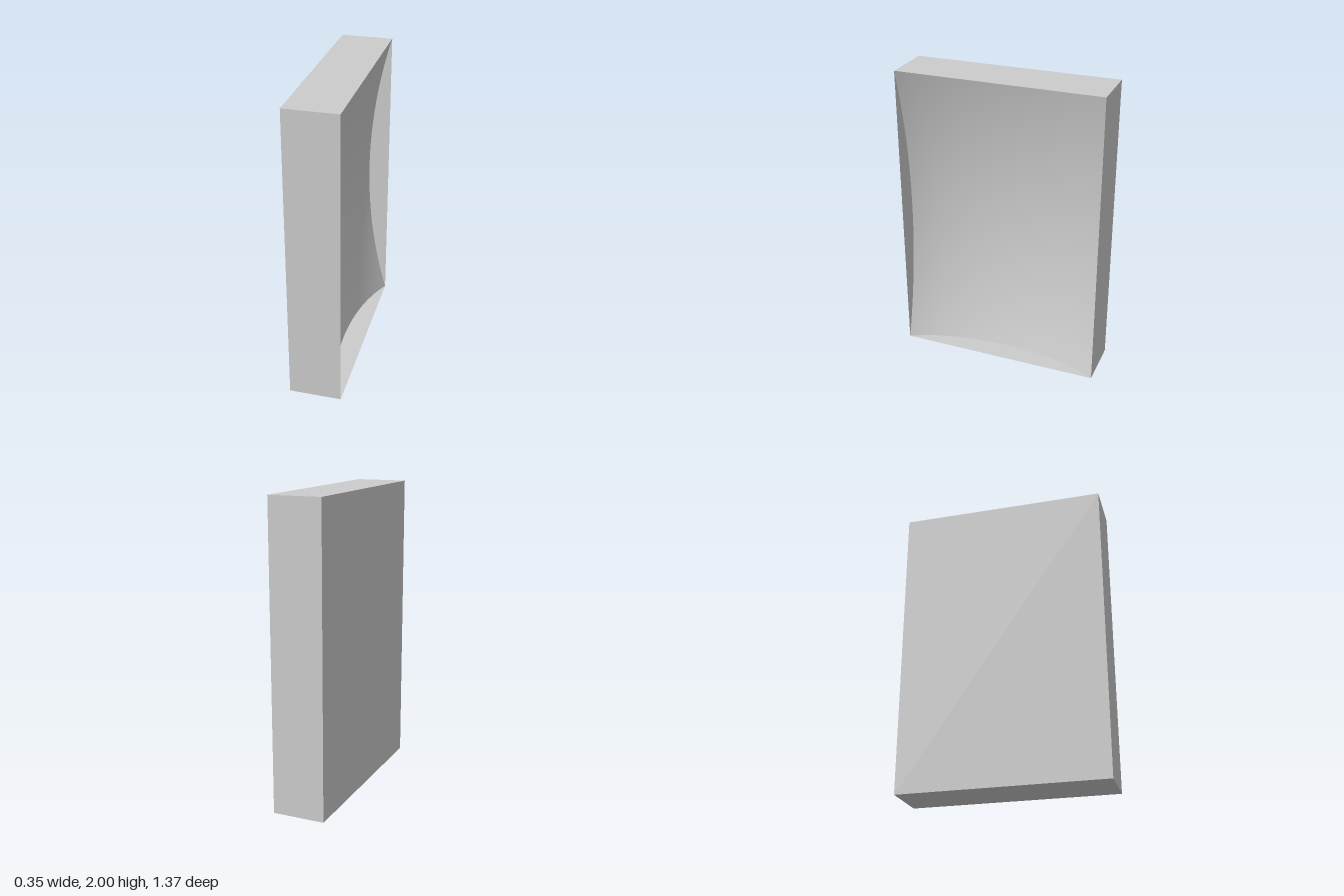
import * as THREE from 'three';

const W = 0.346, H = 2, D = 1.37;

// Depth of an elliptical arc at t in -1..1: sag in the middle, 0 at both ends.
// A higher k (0..1) flattens the middle and steepens the ends.
function arcDepth(t, sag, k) {
  const end = Math.sqrt(1 - k);
  return sag * (Math.sqrt(1 - k * t * t) - end) / (1 - end);
}

export function createModel() {
  const group = new THREE.Group();
  const material = new THREE.MeshStandardMaterial({ color: 0xcccccc, side: THREE.DoubleSide });

  // Thin-walled box, open on the +x side (its first two triangles are dropped)
  const box = new THREE.BoxGeometry(W, H, D);
  box.setIndex(Array.from(box.index.array).slice(6));
  box.clearGroups();
  const shell = new THREE.Mesh(box, material);
  shell.name = 'openShell';
  shell.position.y = H / 2;
  group.add(shell);

  // Concave face: an arc swept along an arc, meeting the box at its four corners
  const face = new THREE.PlaneGeometry(D, H, 40, 40);
  face.rotateY(Math.PI / 2);
  const p = face.attributes.position;
  for (let i = 0; i < p.count; i++) {
    const across = arcDepth(p.getZ(i) / (D / 2), 0.15, 0.6);
    const along = arcDepth(p.getY(i) / (H / 2), 0.142, 0.1);
    p.setX(i, W / 2 - across - along);
  }
  face.computeVertexNormals();
  const concave = new THREE.Mesh(face, material);
  concave.name = 'concaveFace';
  concave.position.y = H / 2;
  group.add(concave);

  return group;
}
